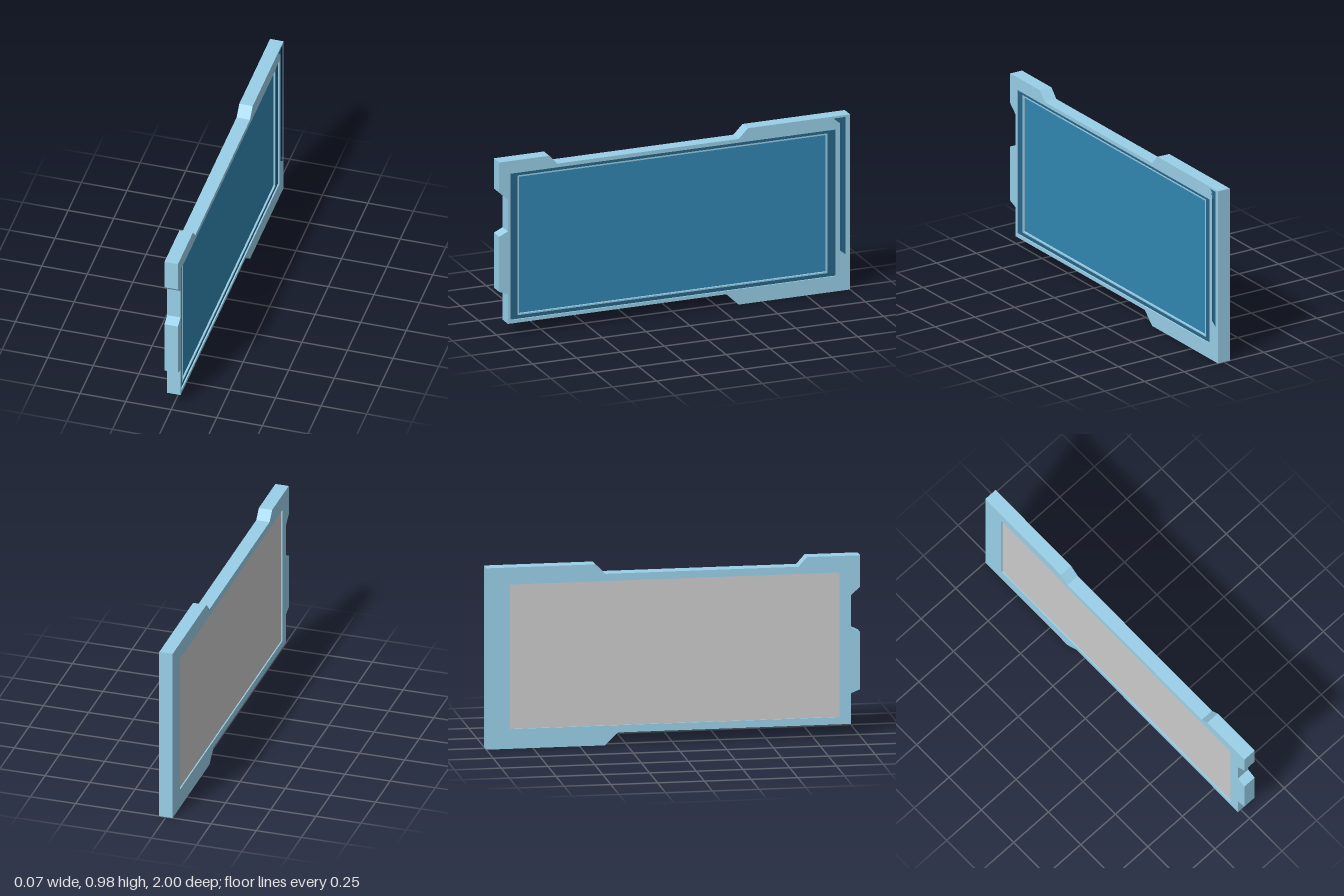
import * as THREE from 'three';

const FRONT = 0.037; // half thickness of the frame
const SEAM = -0.02;  // joint between front bezel and back plate

// Profiles are drawn as (z, y) points; the extrusion runs along x.
const toVectors = (pts) => pts.map(([z, y]) => new THREE.Vector2(-z, y));
const rect = (z0, z1, y0, y1) => [[z0, y0], [z1, y0], [z1, y1], [z0, y1]];

const outline = [
  [1, 0.975], [0.715, 0.975], [0.67, 0.925], [-0.365, 0.925], [-0.417, 0.978], [-1, 0.978],
  [-1, 0], [-0.365, 0], [-0.295, 0.067], [0.95, 0.067], [0.95, 0.232], [1, 0.252],
  [1, 0.56], [0.95, 0.584], [0.95, 0.76], [1, 0.806],
];
const slot = [[-0.905, 0.967], [-0.977, 0.967], [-0.977, 0.198], [-0.943, 0.224], [-0.943, 0.935]];
const windowRect = rect(0.937, -0.919, 0.086, 0.904);
const rimRect = rect(0.892, -0.874, 0.106, 0.886);
const screenRect = rect(0.884, -0.866, 0.114, 0.878);

function slab(name, color, profile, holes, x0, x1) {
  const shape = new THREE.Shape(toVectors(profile));
  for (const h of holes) shape.holes.push(new THREE.Path(toVectors(h)));
  const geo = new THREE.ExtrudeGeometry(shape, { depth: x1 - x0, bevelEnabled: false });
  geo.translate(0, 0, x0).rotateY(Math.PI / 2);
  const mesh = new THREE.Mesh(geo, new THREE.MeshStandardMaterial({ color }));
  mesh.name = name;
  return mesh;
}

export function createModel() {
  const model = new THREE.Group();
  model.name = 'wallScreen';
  const light = 0x99d0e9, dark = 0x2a6688, blue = 0x3287b4;

  model.add(
    // Notched frame, with the window and the side slot cut through its front layer
    slab('frontFrame', light, outline, [windowRect, slot], SEAM, FRONT),
    slab('backFrame', light, outline, [rimRect], -FRONT, SEAM),
    // Recessed dark border and slot floor
    slab('screenBorder', dark, windowRect, [rimRect], SEAM, 0.029),
    slab('slotInlay', dark, slot, [], SEAM, 0.029),
    // Thin light rim around the display
    slab('screenRim', light, rimRect, [screenRect], SEAM, 0.03),
    slab('screen', blue, screenRect, [], SEAM, 0.02),
    // Grey panel set slightly into the back
    slab('backPanel', 0xcccccc, rimRect, [], -0.03, SEAM),
  );
  return model;
}
